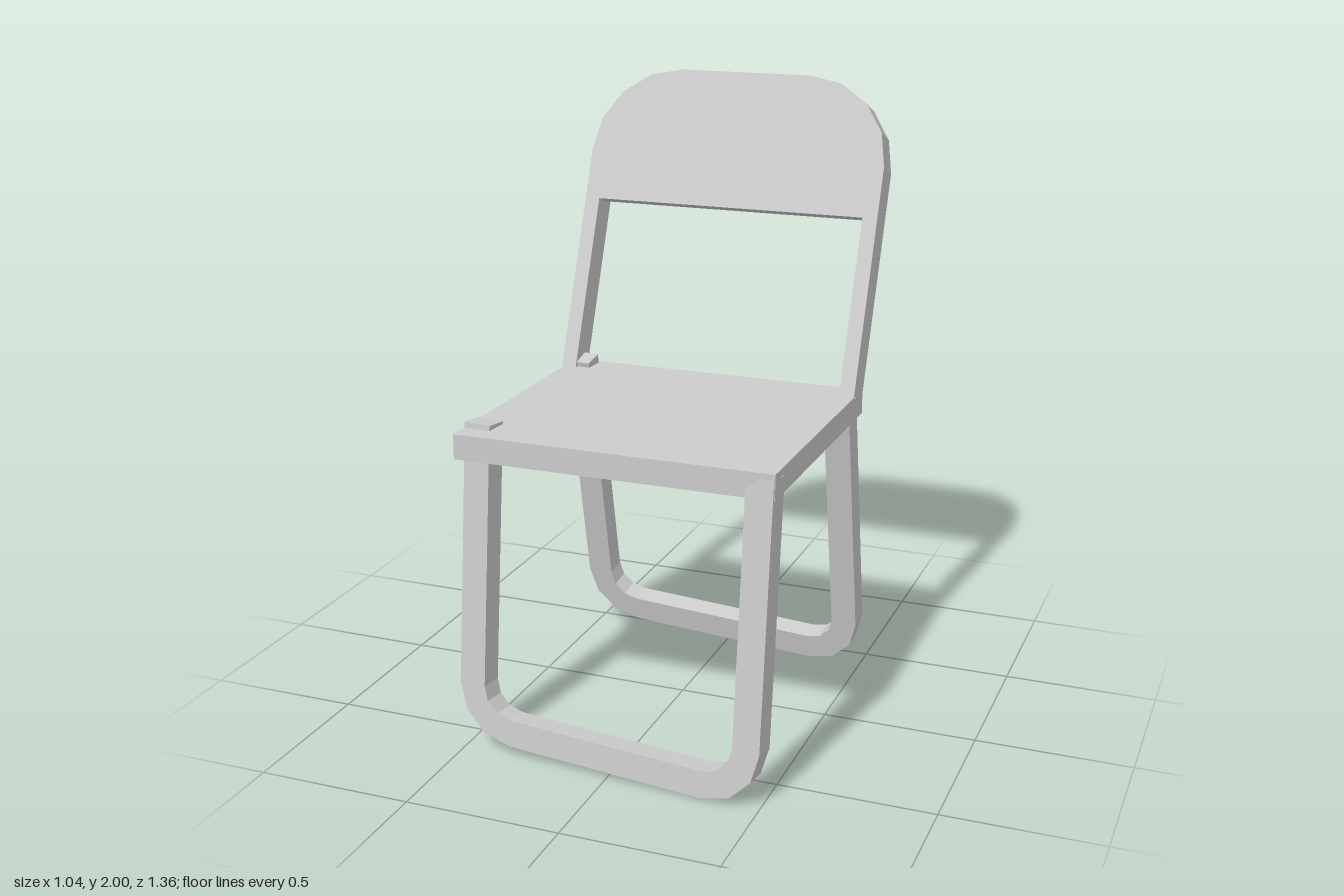
import * as THREE from 'three';

const material = new THREE.MeshStandardMaterial({ color: 0xcccccc, flatShading: true });

// Outline of a strip that runs from v = start to v = end, with two rounded far corners
function outline(half, start, end, radius, steps) {
  const points = [new THREE.Vector2(half, start)];
  for (const side of [0, 1]) {
    for (let i = 0; i <= steps; i++) {
      const a = (side + i / steps) * Math.PI / 2;
      const cx = (half - radius) * (side ? -1 : 1);
      points.push(new THREE.Vector2(cx + radius * Math.cos(a), end - radius + radius * Math.sin(a)));
    }
  }
  points.push(new THREE.Vector2(-half, start));
  return points;
}

function extrude(points, depth, z) {
  const geometry = new THREE.ExtrudeGeometry(new THREE.Shape(points), { depth, bevelEnabled: false });
  return geometry.translate(0, 0, z);
}

// U-shaped bar: outer outline out, inner outline back
function uBar({ half, length, radius, bar, steps, depth, z }) {
  const outer = outline(half, 0, length, radius, steps);
  const inner = outline(half - bar, 0, length - bar, radius - bar, steps).reverse();
  return extrude([...outer, ...inner], depth, z);
}

// Places a flat part: local x runs across, local y runs along the bars
function place(name, geometry, origin, across, along) {
  const x = new THREE.Vector3(...across);
  const y = new THREE.Vector3(...along).normalize();
  const z = x.clone().cross(y).normalize();
  const matrix = new THREE.Matrix4().makeBasis(x, y, z).setPosition(...origin);
  const mesh = new THREE.Mesh(geometry.applyMatrix4(matrix), material);
  mesh.name = name;
  return mesh;
}

export function createModel() {
  const group = new THREE.Group();
  group.name = 'chair';

  // Seat slab
  const seat = new THREE.Mesh(new THREE.BoxGeometry(1.025, 0.08, 0.9), material);
  seat.name = 'seat';
  seat.position.set(0, 0.99, 0.15);
  group.add(seat);

  // Leaning back: hoop with a panel set flush with its front
  const backOrigin = [-0.003, 1.03, -0.2];
  const lean = [0, 0.97, -0.39];
  const hoop = uBar({ half: 0.515, length: 1.045, radius: 0.29, bar: 0.05, steps: 4, depth: 0.1, z: -0.1 });
  const panel = extrude(outline(0.465, 0.585, 0.995, 0.24, 4), 0.05, -0.05);
  group.add(place('backFrame', hoop, backOrigin, [1, 0, 0], lean));
  group.add(place('backPanel', panel, backOrigin, [1, 0, 0], lean));

  // Slightly skewed leg loops, splayed forward and backward
  const leg = { half: 0.51, radius: 0.18, bar: 0.087, steps: 3, z: 0 };
  const frontLegs = uBar({ ...leg, length: 1.018, depth: 0.08 });
  group.add(place('frontLegs', frontLegs, [0, 1.03, 0.565], [1, -0.036, 0.075], [-0.012, -1.01, 0.085]));
  const backLegs = uBar({ ...leg, length: 1.042, depth: 0.07 });
  group.add(place('backLegs', backLegs, [0, 1.03, -0.182], [1, -0.036, 0.06], [-0.012, -1.01, -0.235]));

  return group;
}
